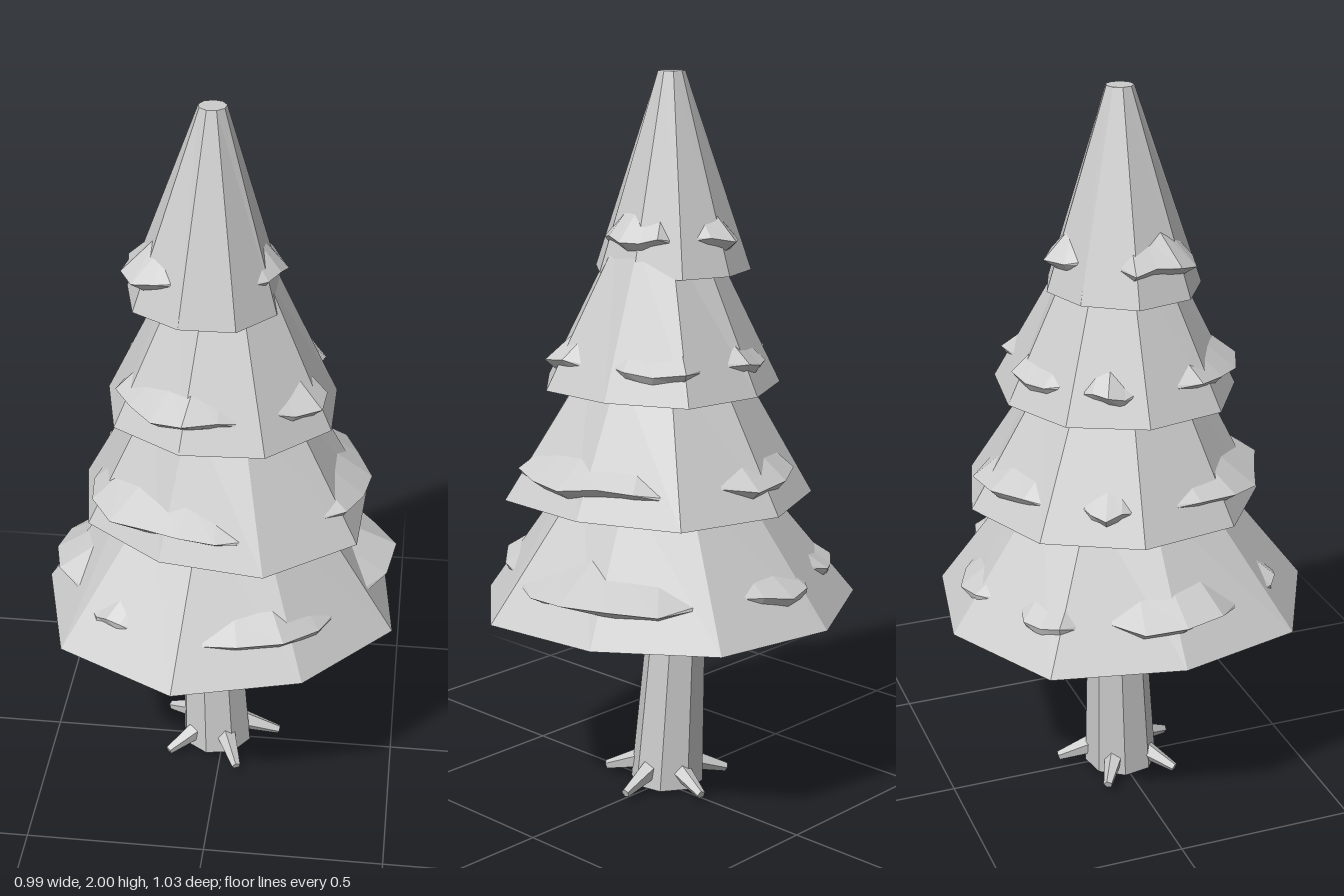
import * as THREE from 'three';

const RAD = Math.PI / 180;
const SIDES = 9;
const STEP = 360 / SIDES;

// Joins rows of points (listed top to bottom, angle increasing) into a faceted skin
function loft(rows, closed) {
  const pos = [];
  const n = rows[0].length;
  for (let j = 0; j < rows.length - 1; j++) {
    for (let i = 0; i < (closed ? n : n - 1); i++) {
      const k = (i + 1) % n;
      const a = rows[j][i], b = rows[j][k], c = rows[j + 1][i], d = rows[j + 1][k];
      pos.push(...a, ...b, ...c, ...b, ...d, ...c);
    }
  }
  const geo = new THREE.BufferGeometry();
  geo.setAttribute('position', new THREE.Float32BufferAttribute(pos, 3));
  geo.computeVertexNormals();
  return geo;
}

const polar = (cx, cz, r, deg, y) => [cx + r * Math.cos(deg * RAD), y, cz + r * Math.sin(deg * RAD)];

// Closed ring; radii may be one number or one per corner
function ring(cx, cz, radii, y, phase, scale = 1, n = SIDES) {
  return Array.from({ length: n }, (_, i) =>
    polar(cx, cz, (Array.isArray(radii) ? radii[i] : radii) * scale, phase + (i * 360) / n, y));
}

// Tiers from the top down; lumps are [start angle, end angle, outward reach, height]
const tiers = [
  {
    name: 'topTier', c: [-0.03, -0.005], top: [2.0, 0.037], y: 1.475, phase: -92, lumpY: 1.57,
    radii: [0.205, 0.2, 0.19, 0.2, 0.22, 0.215, 0.23, 0.235, 0.215],
    lumps: [[-48, 48, 0.035, 0.07], [115, 205, 0.05, 0.07], [-128, -62, 0.035, 0.06]],
  },
  {
    name: 'upperTier', c: [0, 0], top: [1.56, 0.13], y: 1.17, phase: -95, lumpY: 1.25,
    radii: [0.32, 0.35, 0.31, 0.33, 0.33, 0.32, 0.33, 0.32, 0.32],
    lumps: [[70, 170, 0.045, 0.06], [5, 58, 0.035, 0.06], [-70, -8, 0.03, 0.05],
      [-130, -80, 0.03, 0.05], [188, 222, 0.03, 0.05]],
  },
  {
    name: 'middleTier', c: [0, 0], top: [1.24, 0.2], y: 0.87, phase: -90, lumpY: 0.95,
    radii: [0.42, 0.44, 0.4, 0.44, 0.43, 0.385, 0.4, 0.4, 0.41],
    lumps: [[72, 178, 0.055, 0.06], [-48, 45, 0.05, 0.06], [-135, -65, 0.04, 0.06], [192, 218, 0.03, 0.05]],
  },
  {
    name: 'bottomTier', c: [0, 0], top: [0.93, 0.24], y: 0.555, phase: -101, lumpY: 0.66,
    radii: [0.52, 0.51, 0.48, 0.515, 0.5, 0.53, 0.54, 0.5, 0.545],
    lumps: [[-58, 20, 0.085, 0.07], [32, 95, 0.04, 0.05], [118, 138, 0.02, 0.035],
      [150, 205, 0.06, 0.07], [212, 240, 0.03, 0.05], [-112, -72, 0.03, 0.05]],
  },
];

// Radius of a tier's faceted side at any angle and height
function sideRadius(t, deg, y) {
  const u = (((deg - t.phase) % 360) + 360) % 360 / STEP;
  const i = Math.floor(u) % SIDES, f = u - Math.floor(u);
  const k = (t.top[0] - y) / (t.top[0] - t.y);
  const at = (j) => t.top[1] + (t.radii[j % SIDES] - t.top[1]) * k;
  const r0 = at(i), r1 = at(i + 1);
  return r0 * r1 * Math.sin(STEP * RAD) /
    (r0 * Math.sin(f * STEP * RAD) + r1 * Math.sin((1 - f) * STEP * RAD));
}

// Crescent ledge: tucked top edge, jutting ridge and tucked lower edge
function lump(t, [from, to, reach, height], seed) {
  const n = Math.max(4, Math.round((to - from) / 16));
  const rows = [[], [], []];
  for (let i = 0; i <= n; i++) {
    const deg = from + ((to - from) * i) / n;
    const w = Math.pow(Math.sin((Math.PI * i) / n), 0.6);
    const wob = 1 + 0.2 * Math.sin(i * 2.3 + seed * 1.7);
    const y = t.lumpY + 0.008 * Math.sin(i * 1.9 + seed);
    const points = [
      [y + 0.01 + height * w * wob, -0.012],
      [y, -0.012 + (reach + 0.012) * w * wob],
      [y - 0.01 - 0.025 * w, -0.015],
    ];
    points.forEach(([py, out], j) =>
      rows[j].push(polar(t.c[0], t.c[1], sideRadius(t, deg, py) + out, deg, py)));
  }
  return loft(rows, false);
}

export function createModel() {
  const model = new THREE.Group();
  const grey = new THREE.MeshStandardMaterial({ color: 0xcccccc, side: THREE.DoubleSide, flatShading: true });
  grey.name = 'plain grey';
  const add = (parent, name, geo) => {
    const mesh = new THREE.Mesh(geo, grey);
    mesh.name = name;
    parent.add(mesh);
    return mesh;
  };

  // Foliage tiers: capped skirt with a shallow dished underside, plus ledges
  tiers.forEach((t, ti) => {
    const group = new THREE.Group();
    group.name = t.name;
    const [cx, cz] = t.c;
    add(group, 'skirt', loft([
      ring(cx, cz, 0, t.top[0], t.phase),
      ring(cx, cz, t.top[1], t.top[0], t.phase),
      ring(cx, cz, t.radii, t.y, t.phase),
      ring(cx, cz, t.radii, t.y - 0.003, t.phase, 0.8),
      ring(cx, cz, 0, t.y - (ti === 3 ? 0.09 : 0.05), t.phase),
    ], true));
    t.lumps.forEach((l, li) => add(group, 'ledge', lump(t, l, ti * 5 + li)));
    model.add(group);
  });

  // Trunk, leaning slightly and tapering upward
  add(model, 'trunk', loft([
    ring(-0.04, -0.02, 0.08, 0.52, 12, 1, 8),
    ring(-0.02, 0, 0.103, 0.01, 12, 1, 8),
    ring(-0.02, 0, 0, 0, 12, 1, 8),
  ], true));

  // Five stubby roots around the foot
  for (let i = 0; i < 5; i++) {
    const deg = 67 + i * 72;
    const start = new THREE.Vector3(...polar(-0.015, 0, 0.07, deg, 0.062));
    const end = new THREE.Vector3(...polar(-0.015, 0, 0.18, deg, 0.024));
    const dir = end.clone().sub(start);
    const root = add(model, 'root', new THREE.CylinderGeometry(0.013, 0.03, dir.length(), 5));
    root.position.copy(start).add(end).multiplyScalar(0.5);
    root.quaternion.setFromUnitVectors(new THREE.Vector3(0, 1, 0), dir.normalize());
  }
  return model;
}
